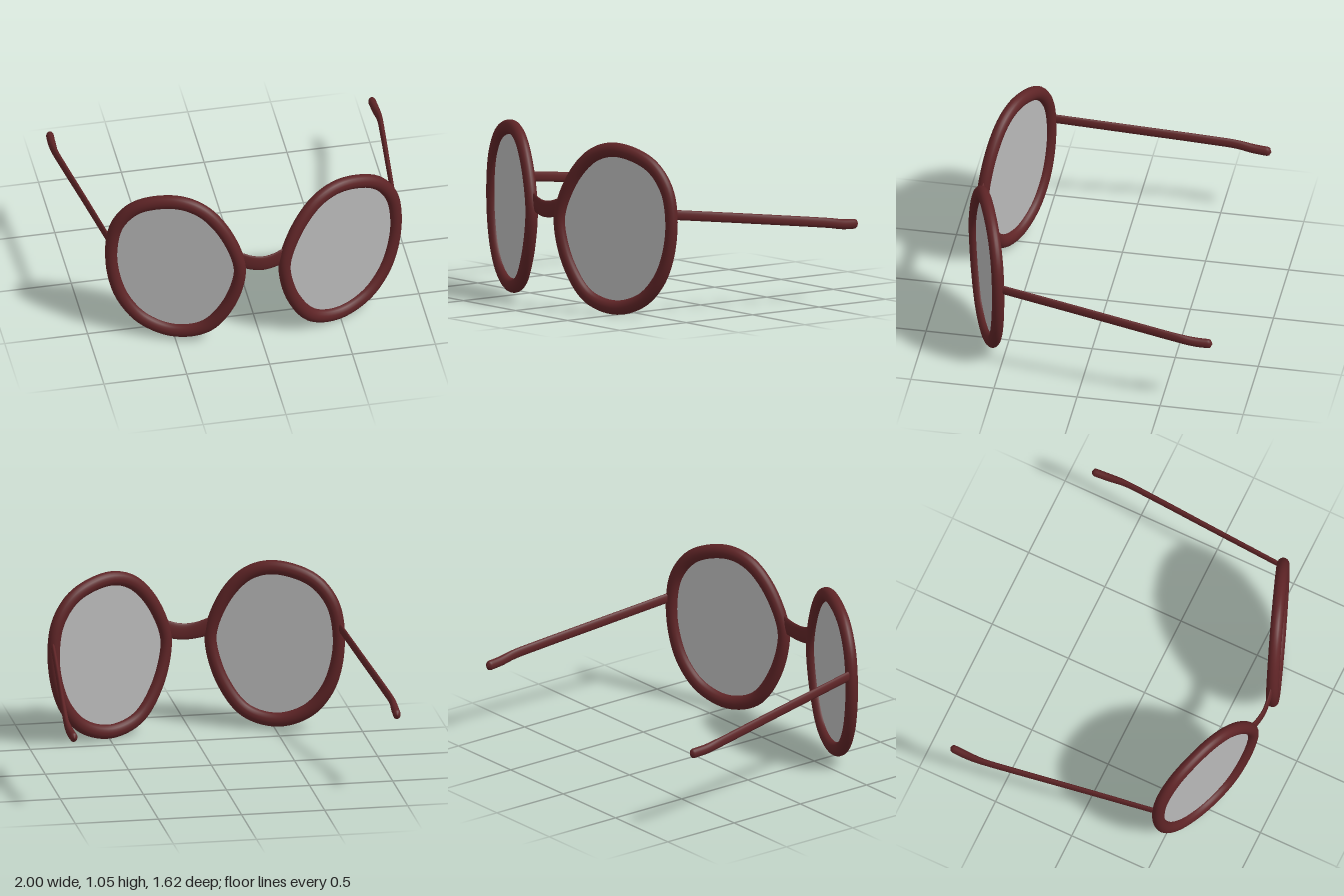
import * as THREE from 'three';

const V = (x, y, z) => new THREE.Vector3(x, y, z);
const lerp = THREE.MathUtils.lerp;

// Sweep an elliptical section along a curve; radii(t) gives [along ref, across ref]
function sweep(curve, ref, radii, steps, closed = false) {
  const sides = 20, pos = [], idx = [];
  for (let i = 0; i <= steps; i++) {
    const t = i / steps, p = curve.getPointAt(t), T = curve.getTangentAt(t);
    const U = ref.clone().addScaledVector(T, -ref.dot(T)).normalize();
    const W = T.clone().cross(U);
    const [a, b] = radii(t, p);
    for (let j = 0; j < sides; j++) {
      const ang = (j / sides) * Math.PI * 2;
      const q = p.clone().addScaledVector(U, a * Math.cos(ang)).addScaledVector(W, b * Math.sin(ang));
      pos.push(q.x, q.y, q.z);
    }
  }
  for (let i = 0; i < steps; i++) {
    const n = closed ? (i + 1) % steps : i + 1;
    for (let j = 0; j < sides; j++) {
      const k = (j + 1) % sides;
      const a = i * sides + j, b = i * sides + k, c = n * sides + k, d = n * sides + j;
      idx.push(a, b, c, a, c, d);
    }
  }
  const g = new THREE.BufferGeometry();
  g.setAttribute('position', new THREE.Float32BufferAttribute(pos, 3));
  g.setIndex(idx);
  g.computeVertexNormals();
  return g;
}

// Centre line of one rim as seen from the front
const RIM = [
  [0.5, 1.013], [0.712, 0.948], [0.822, 0.81], [0.858, 0.623], [0.838, 0.41], [0.778, 0.25], [0.67, 0.126],
  [0.5, 0.067], [0.323, 0.12], [0.197, 0.3], [0.136, 0.527], [0.147, 0.645], [0.238, 0.848], [0.356, 0.972],
];
// Each rim lies in a plane swept back toward the temples
const SLOPE = 0.377;
const rimZ = (x) => 0.775 - (Math.abs(x) - 0.13) * SLOPE;

export function createModel() {
  const model = new THREE.Group();
  model.name = 'eyeglasses';
  const frameMat = new THREE.MeshStandardMaterial({ color: 0x5e2426 });
  frameMat.name = 'dark red frame';
  const lensMat = new THREE.MeshStandardMaterial({ color: 0xb8b8b8, side: THREE.DoubleSide });
  lensMat.name = 'grey lens';

  // The whole pair leans very slightly to one side
  const glasses = new THREE.Group();
  glasses.name = 'glasses';
  glasses.rotation.z = -0.0175;
  glasses.position.set(-0.0096, -0.012, 0);
  model.add(glasses);

  const add = (name, geometry, material) => {
    const mesh = new THREE.Mesh(geometry, material);
    mesh.name = name;
    glasses.add(mesh);
  };

  for (const [s, side] of [[1, 'left'], [-1, 'right']]) {
    // Rim, a little thicker at top and bottom
    const rim = new THREE.CatmullRomCurve3(RIM.map(([x, y]) => V(s * x, y, rimZ(x))), true, 'centripetal');
    const normal = V(s * SLOPE, 0, 1).normalize();
    add(side + 'Rim', sweep(rim, normal, (t, p) => {
      const k = Math.min(1, Math.abs(p.y - 0.54) / 0.47);
      return [0.037, lerp(0.036, 0.043, k)];
    }, 96, true), frameMat);

    // Flat lens filling the rim
    const outline = rim.getSpacedPoints(72).slice(0, -1).map((p) => new THREE.Vector2(p.x, p.y));
    const lens = new THREE.ShapeGeometry(new THREE.Shape(outline));
    const lp = lens.attributes.position;
    for (let i = 0; i < lp.count; i++) lp.setZ(i, rimZ(lp.getX(i)));
    lens.computeVertexNormals();
    add(side + 'Lens', lens, lensMat);

    // Temple arm, flat at the hinge and rounder at the tip
    const arm = new THREE.CatmullRomCurve3([
      V(s * 0.862, 0.66, 0.5), V(s * 0.918, 0.597, -0.02), V(s * 0.96, 0.55, -0.4),
      V(s * 0.979, 0.524, -0.6), V(s * 0.977, 0.507, -0.7), V(s * 0.971, 0.5, -0.81),
    ], false, 'centripetal');
    add(side + 'Temple', sweep(arm, V(0, 1, 0), (t) => {
      const e = Math.max(0, 1 - Math.min(t / 0.01, (1 - t) / 0.02));
      const cap = Math.sqrt(1 - e * e);
      const w = lerp(0.012, 0.017, t) + 0.006 * THREE.MathUtils.smoothstep(t, 0.8, 0.93);
      return [0.03 * cap, w * cap];
    }, 120), frameMat);
  }

  // Bridge, a thin tall strip that dips and bows forward
  const bridge = new THREE.CatmullRomCurve3([
    V(-0.14, 0.64, 0.765), V(-0.07, 0.615, 0.777), V(0, 0.606, 0.783), V(0.07, 0.615, 0.777), V(0.14, 0.64, 0.765),
  ]);
  add('bridge', sweep(bridge, V(0, 1, 0), () => [0.05, 0.012], 24), frameMat);

  return model;
}
